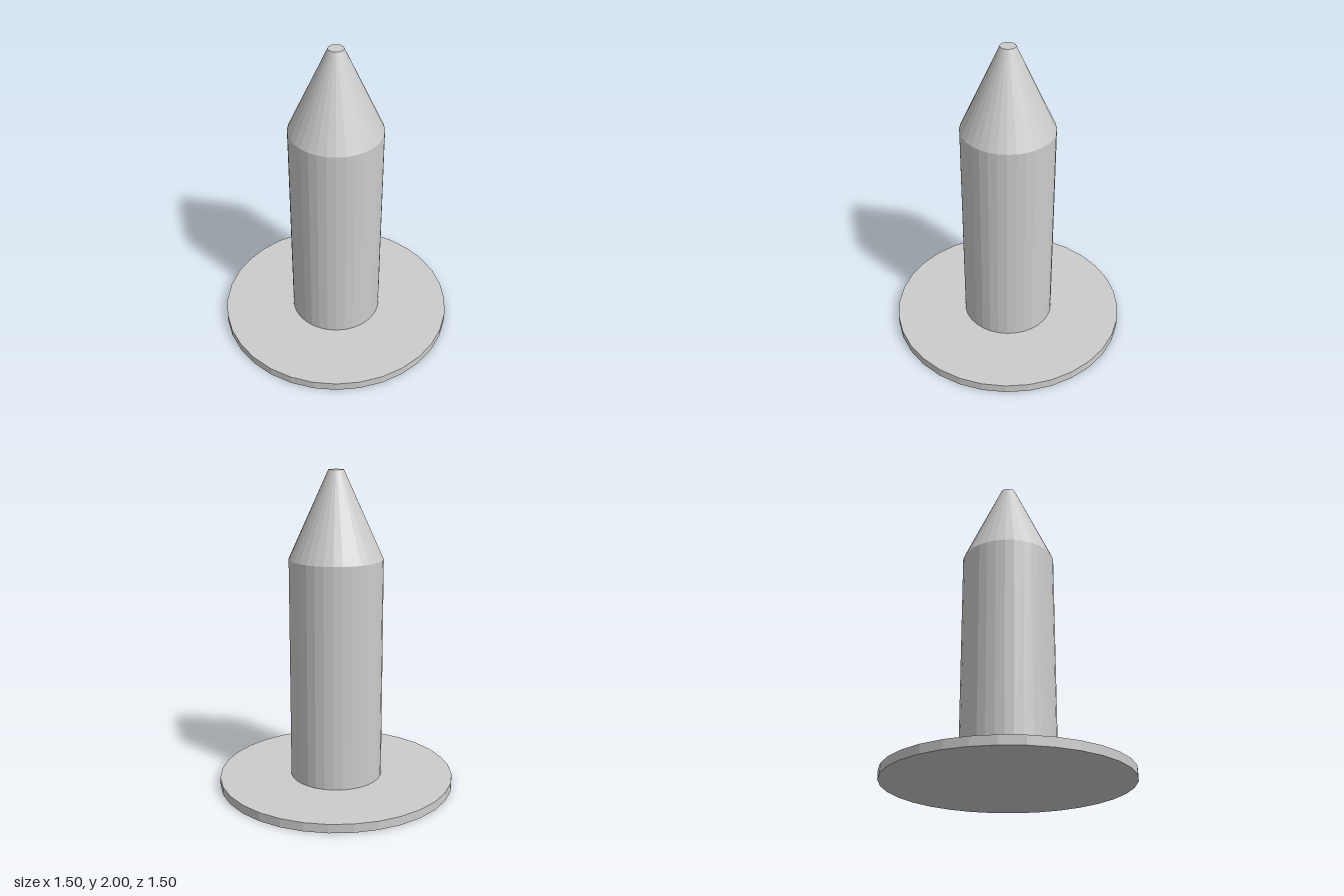
import * as THREE from 'three';

const SIDES = 32;

export function createModel() {
  const model = new THREE.Group();
  model.name = 'flangedPin';

  const grey = new THREE.MeshStandardMaterial({ color: 0xcccccc, flatShading: true });
  grey.name = 'light grey';

  // Round section standing between two heights
  const addSection = (name, topRadius, bottomRadius, y0, y1, openEnded = false) => {
    const geometry = new THREE.CylinderGeometry(topRadius, bottomRadius, y1 - y0, SIDES, 1, openEnded);
    geometry.translate(0, (y0 + y1) / 2, 0);
    const mesh = new THREE.Mesh(geometry, grey);
    mesh.name = name;
    model.add(mesh);
  };

  // Wide flat foot
  addSection('baseDisc', 0.75, 0.75, 0, 0.055);
  // Straight shaft, closed by the disc below and the tip above
  addSection('shaft', 0.292, 0.292, 0.055, 1.46, true);
  // Tapered tip with a small flat end
  addSection('taperedTip', 0.047, 0.292, 1.46, 2);

  return model;
}
